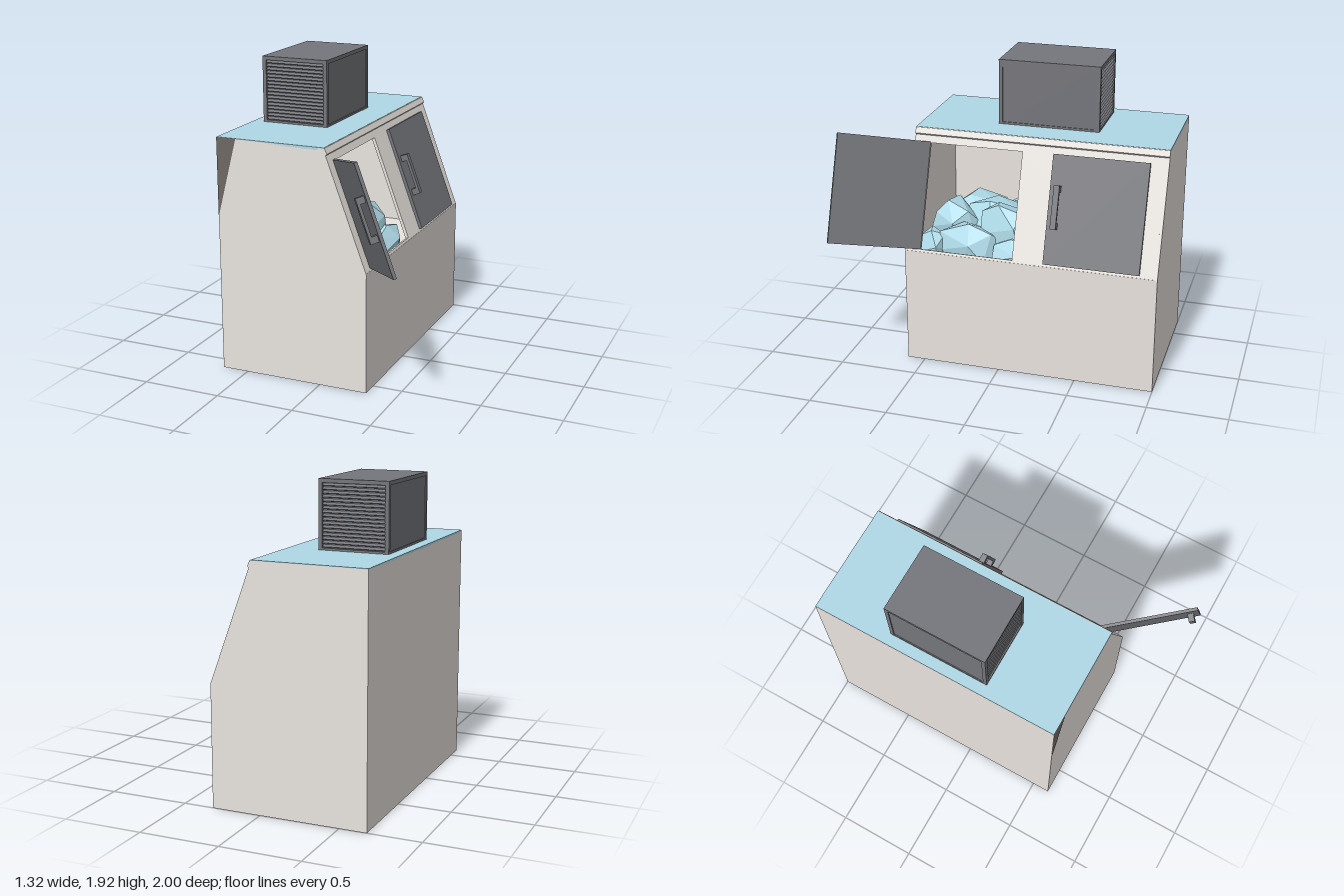
import * as THREE from 'three';
import { ConvexGeometry } from 'three/addons/geometries/ConvexGeometry.js';

const mat = (color, extra = {}) => new THREE.MeshStandardMaterial({ color, ...extra });
const WHITE = mat(0xe8e3de, { side: THREE.DoubleSide });
const BLUE = mat(0xb0d8e6);
const ICE = mat(0xb0dcea, { flatShading: true });
const GREY = mat(0x75767b);
const DARK = mat(0x6d6762);

function add(parent, name, geometry, material) {
  const mesh = new THREE.Mesh(geometry, material);
  mesh.name = name;
  parent.add(mesh);
  return mesh;
}

// box given by its min and max corners
function box(parent, name, material, [x0, y0, z0], [x1, y1, z1]) {
  const g = new THREE.BoxGeometry(x1 - x0, y1 - y0, z1 - z0);
  g.translate((x0 + x1) / 2, (y0 + y1) / 2, (z0 + z1) / 2);
  return add(parent, name, g, material);
}

const polygon = (pts) => new THREE.Shape(pts.map(([x, y]) => new THREE.Vector2(x, y)));
const extrude = (shape, depth) => new THREE.ExtrudeGeometry(shape, { depth, bevelEnabled: false });

// cabinet: end walls, floor, back, lower front and lid
function makeCabinet() {
  const g = new THREE.Group();
  g.name = 'cabinet';
  const profile = polygon([[-0.67, 0], [0.31, 0], [0.31, 0.76], [0.05, 1.46], [0.04, 1.497], [-0.67, 1.497]]);
  for (const z of [-1, 0.595]) add(g, 'endWall', extrude(profile, 0.018), WHITE).position.z = z;
  box(g, 'floor', WHITE, [-0.67, 0, -0.99], [0.31, 0.02, 0.6]);
  box(g, 'backWall', WHITE, [-0.67, 0, -0.99], [-0.65, 1.495, 0.6]);
  box(g, 'lowerFront', WHITE, [0.29, 0, -0.99], [0.31, 0.765, 0.6]);
  box(g, 'shelf', WHITE, [-0.65, 0.58, -0.98], [0.29, 0.6, 0.595]);
  box(g, 'lid', BLUE, [-0.67, 1.485, -1], [0.04, 1.502, 0.613]);
  // overhanging trim along the upper front edge
  const trim = polygon([[0, 1.455], [0.052, 1.455], [0.06, 1.465], [0.045, 1.5], [0, 1.5]]);
  add(g, 'topTrim', extrude(trim, 1.613), WHITE).position.z = -1;
  // dark triangle in the front corner
  const corner = polygon([[-0.67, 1.0], [-0.54, 1.5], [-0.67, 1.5]]);
  add(g, 'cornerTriangle', new THREE.ShapeGeometry(corner), DARK).position.z = 0.615;
  return g;
}

// door with a bar handle; dir is the way it extends from its hinge in local x
function makeDoor(name, dir) {
  const g = new THREE.Group();
  g.name = name;
  const w = 0.6, h = 0.68;
  add(g, 'doorPanel', new THREE.BoxGeometry(w, h, 0.02), GREY).position.set(dir * w / 2, h / 2, 0.01);
  const x = dir * (w - 0.052);
  add(g, 'handleBar', new THREE.BoxGeometry(0.036, 0.27, 0.018), GREY).position.set(x, 0.355, 0.061);
  for (const y of [0.24, 0.47])
    add(g, 'handleFoot', new THREE.BoxGeometry(0.036, 0.04, 0.036), GREY).position.set(x, y, 0.036);
  return g;
}

// sloping front: local x runs towards the back, y up the slope, z outwards
function makeSlope() {
  const g = new THREE.Group();
  g.name = 'slopingFront';
  const up = new THREE.Vector3(-0.26, 0.7, 0).normalize();
  const out = new THREE.Vector3(up.y, -up.x, 0);
  g.applyMatrix4(new THREE.Matrix4().makeBasis(new THREE.Vector3(0, 0, -1), up, out));
  g.position.set(0.31, 0.76, 0);
  const panel = polygon([[-0.61, 0], [0.995, 0], [0.995, 0.746], [-0.61, 0.746]]);
  panel.holes.push(polygon([[-0.51, 0.021], [-0.51, 0.695], [0.09, 0.695], [0.09, 0.021]]));
  add(g, 'slopePanel', extrude(panel, 0.02), WHITE).position.z = -0.02;
  const shut = makeDoor('closedDoor', -1);
  shut.position.set(0.89, 0.021, 0);
  const open = makeDoor('openDoor', 1);
  open.position.set(-0.51, 0.021, 0);
  open.rotation.y = -THREE.MathUtils.degToRad(142);
  g.add(shut, open);
  return g;
}

// cooling unit with slatted ends and framed sides
function makeCooler() {
  const g = new THREE.Group();
  g.name = 'coolingUnit';
  const x0 = -0.6, x1 = -0.16, y0 = 1.5, y1 = 1.92, z0 = -0.52, z1 = 0.13, t = 0.024;
  box(g, 'coolerCore', GREY, [x0 + 0.006, y0, z0 + 0.02], [x1 - 0.006, y1 - 0.01, z1 - 0.02]);
  box(g, 'coolerTop', GREY, [x0, y1 - t, z0], [x1, y1, z1]);
  box(g, 'coolerBase', GREY, [x0, y0, z0], [x1, y0 + 0.015, z1]);
  for (const x of [x0, x1 - t]) for (const z of [z0, z1 - t])
    box(g, 'coolerPost', GREY, [x, y0, z], [x + t, y1, z + t]);
  const slats = 17, pitch = (y1 - t - y0 - 0.015) / slats;
  for (const side of [-1, 1]) for (let i = 0; i < slats; i++) {
    const slat = add(g, 'slat', new THREE.BoxGeometry(0.39, 0.005, 0.022), GREY);
    slat.position.set((x0 + x1) / 2, y0 + 0.015 + (i + 0.5) * pitch, side > 0 ? z1 - 0.013 : z0 + 0.013);
    slat.rotation.x = side * 0.6;
  }
  return g;
}

// faceted chunks of ice: centre, radii
function makeIce() {
  const g = new THREE.Group();
  g.name = 'ice';
  let seed = 7;
  const rand = () => (seed = (seed * 16807) % 2147483647) / 2147483647;
  const chunks = [
    [[0.09, 0.75, 0.24], [0.15, 0.17, 0.25]],
    [[0.03, 0.86, 0.03], [0.16, 0.2, 0.19]],
    [[0.14, 0.73, -0.08], [0.12, 0.14, 0.18]],
    [[-0.1, 0.82, 0.4], [0.18, 0.17, 0.18]],
    [[0.12, 0.72, 0.48], [0.13, 0.15, 0.1]],
    [[-0.2, 0.8, 0.15], [0.2, 0.19, 0.22]],
    [[-0.2, 0.8, -0.25], [0.22, 0.2, 0.22]],
    [[-0.43, 0.76, 0.35], [0.2, 0.16, 0.23]],
    [[-0.43, 0.76, -0.05], [0.2, 0.18, 0.25]],
  ];
  for (const [c, r] of chunks) {
    const pts = [];
    for (let i = 0; i < 16; i++) {
      // evenly spread directions, slightly disturbed
      const y = 1 - (2 * i + 1) / 16, a = i * 2.4 + rand() * 0.7, s = Math.sqrt(1 - y * y);
      pts.push(new THREE.Vector3(s * Math.cos(a) * r[0], y * r[1], s * Math.sin(a) * r[2])
        .multiplyScalar(0.9 + 0.18 * rand()));
    }
    add(g, 'iceChunk', new ConvexGeometry(pts), ICE).position.set(...c);
  }
  return g;
}

export function createModel() {
  const model = new THREE.Group();
  model.name = 'iceFreezer';
  model.add(makeCabinet(), makeSlope(), makeCooler(), makeIce());
  return model;
}
